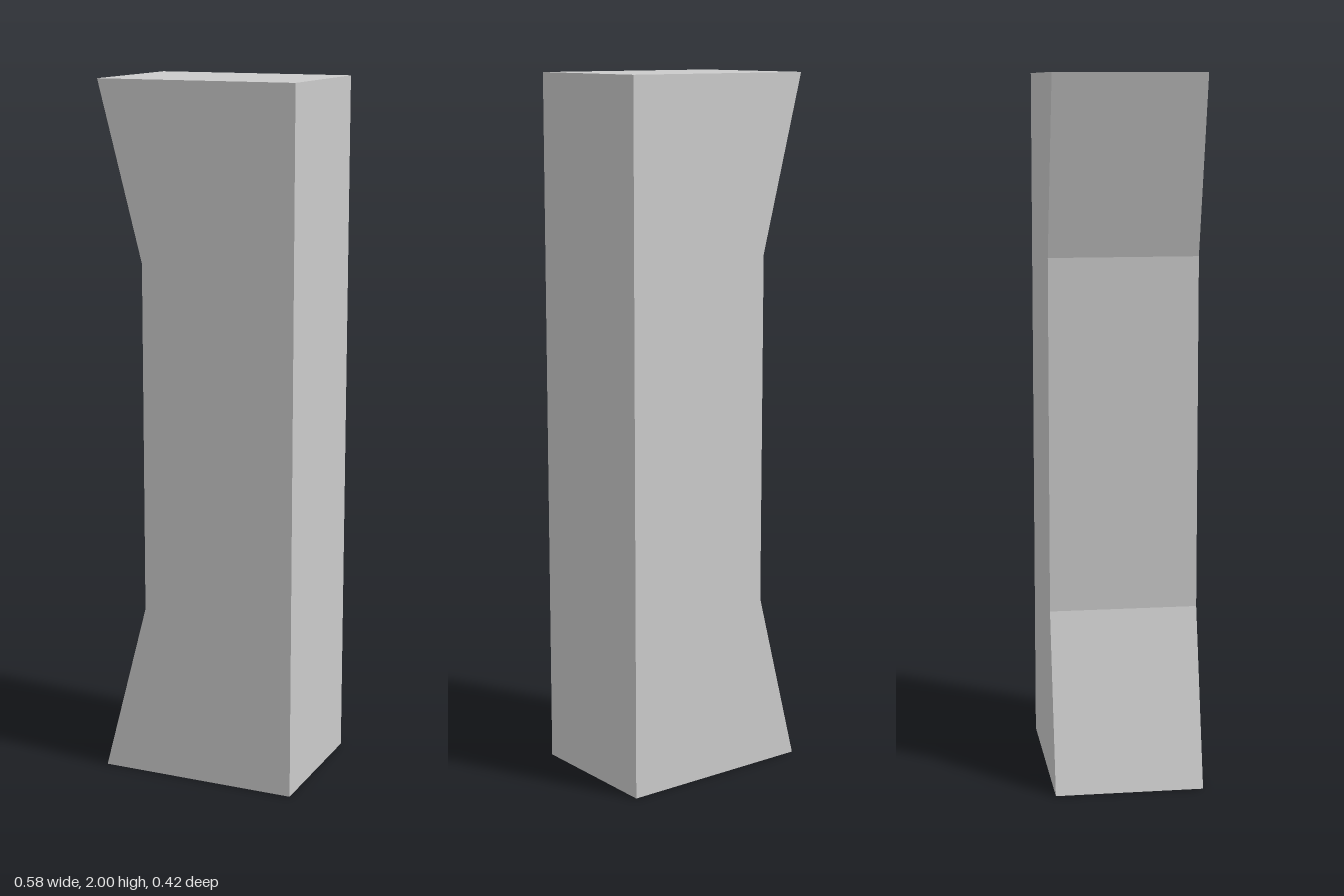
import * as THREE from 'three';

export function createModel() {
  const group = new THREE.Group();
  group.name = 'notchedPost';

  // Side outline: straight on +x, waisted on -x
  const halfWidth = 0.29, waist = -0.16, height = 2, depth = 0.42;
  const outline = new THREE.Shape([
    [-halfWidth, 0],
    [halfWidth, 0],
    [halfWidth, height],
    [-halfWidth, height],
    [waist, 1.5],
    [waist, 0.5],
  ].map(([x, y]) => new THREE.Vector2(x, y)));

  // Extruded through the thickness and centred on z
  const geometry = new THREE.ExtrudeGeometry(outline, { depth, bevelEnabled: false });
  geometry.translate(0, 0, -depth / 2);

  const material = new THREE.MeshStandardMaterial({ color: 0xcccccc, flatShading: true });
  const post = new THREE.Mesh(geometry, material);
  post.name = 'post';
  group.add(post);

  return group;
}
